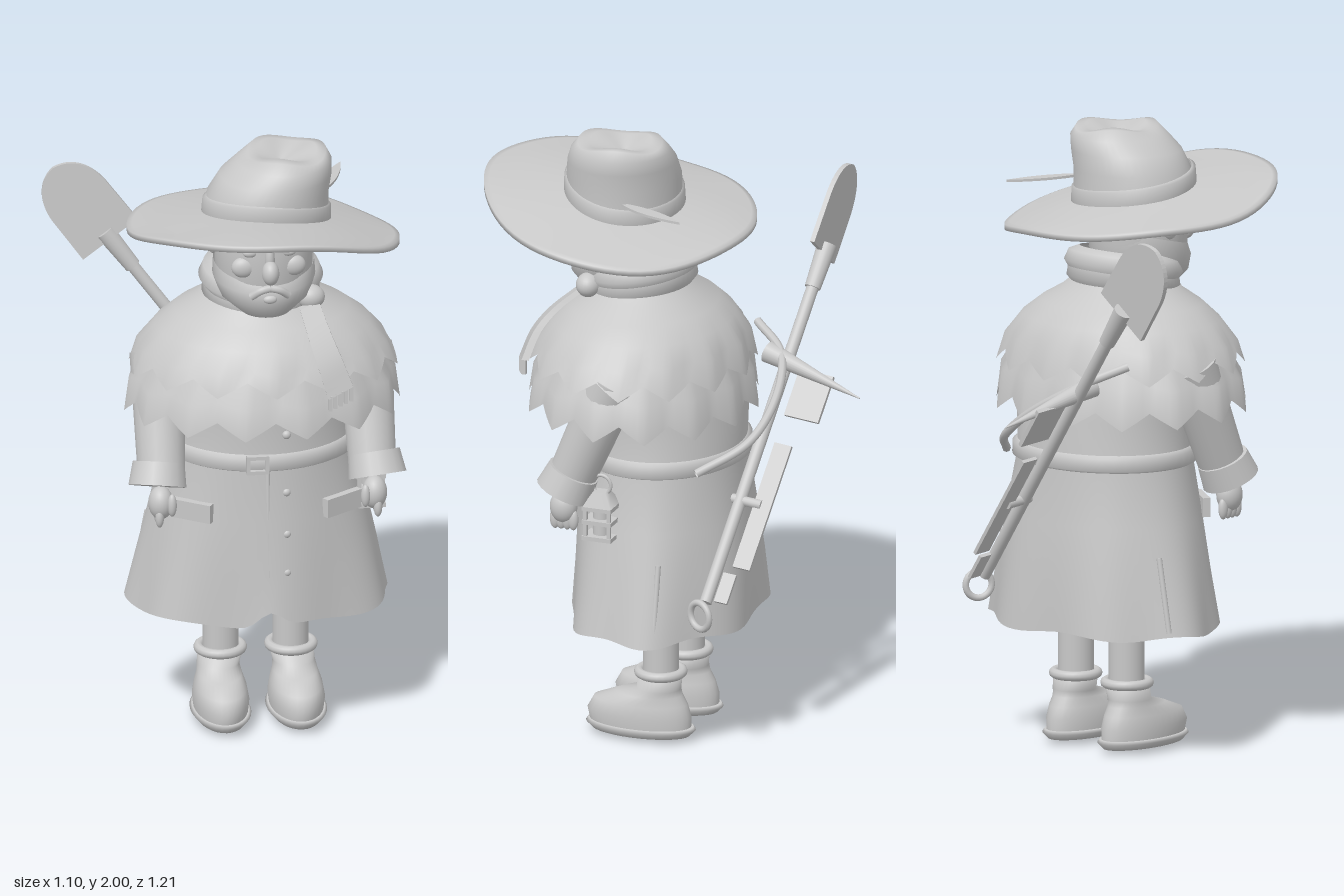
import * as THREE from 'three';

const grey = new THREE.MeshStandardMaterial({ color: 0xc8c8c8, side: THREE.DoubleSide });
grey.name = 'clay grey';
const V = (x, y, z) => new THREE.Vector3(x, y, z);

// Skin through elliptical rings [y, cx, cz, rx, rz], listed from bottom to top
function loft(rings, { seg = 48, warp, cap = false } = {}) {
  const pos = [], idx = [], n = rings.length;
  rings.forEach(([y, cx, cz, rx, rz], k) => {
    for (let i = 0; i < seg; i++) {
      const a = (i / seg) * Math.PI * 2;
      const p = V(cx + rx * Math.sin(a), y, cz + rz * Math.cos(a));
      if (warp) warp(p, a > Math.PI ? a - 2 * Math.PI : a, k);
      pos.push(p.x, p.y, p.z);
      if (k < n - 1) {
        const b = k * seg + i, c = k * seg + (i + 1) % seg;
        idx.push(b, c, c + seg, b, c + seg, b + seg);
      }
    }
  });
  if (cap) {
    const [y, cx, cz] = rings[n - 1], m = pos.length / 3;
    pos.push(cx, y, cz);
    for (let i = 0; i < seg; i++) idx.push((n - 1) * seg + i, (n - 1) * seg + (i + 1) % seg, m);
  }
  const g = new THREE.BufferGeometry();
  g.setAttribute('position', new THREE.Float32BufferAttribute(pos, 3));
  g.setIndex(idx);
  g.computeVertexNormals();
  return g;
}

function add(parent, name, geo, x = 0, y = 0, z = 0) {
  const m = new THREE.Mesh(geo, grey);
  m.name = name;
  m.position.set(x, y, z);
  parent.add(m);
  return m;
}
const box = (w, h, d) => new THREE.BoxGeometry(w, h, d);
const ball = (rx, ry, rz) => new THREE.SphereGeometry(1, 24, 16).scale(rx, ry, rz);
const tube = (pts, r, n = 24) => new THREE.TubeGeometry(new THREE.CatmullRomCurve3(pts.map(p => V(...p))), n, r, 8);
function rod(parent, name, a, b, r0, r1 = r0) {
  const d = b.clone().sub(a);
  const m = add(parent, name, new THREE.CylinderGeometry(r1, r0, d.length(), 20));
  m.position.copy(a).addScaledVector(d, 0.5);
  m.quaternion.setFromUnitVectors(V(0, 1, 0), d.normalize());
  return m;
}

function buildCoat(g) {
  add(g, 'coat', loft([
    [0.41, 0.095, 0, 0.42, 0.295], [0.58, 0.095, 0, 0.385, 0.287], [0.76, 0.095, 0.005, 0.345, 0.275],
    [0.96, 0.095, 0.01, 0.3, 0.255], [1.1, 0.095, 0.01, 0.3, 0.262], [1.28, 0.095, 0.03, 0.3, 0.25],
  ], { seg: 96, warp: (p, a, k) => {
    const f = [0.012, 0.006, 0.002, 0, 0, 0][k] * Math.sin(7 * a + 1);
    p.x += f * Math.sin(a); p.z += f * Math.cos(a);
    if (k === 0) p.y += 0.008 * Math.sin(6 * a) + 0.05 * Math.exp(-((a / 0.12) ** 2));
  } }));
  add(g, 'coatUnderside', loft([[0.46, 0.095, 0, 0.4, 0.28]], { cap: true }));
  // Belt with its buckle
  add(g, 'belt', loft([[0.935, 0.095, 0.01, 0.3, 0.255], [0.945, 0.095, 0.01, 0.318, 0.273],
    [0.985, 0.095, 0.01, 0.316, 0.272], [0.995, 0.095, 0.01, 0.3, 0.255]]));
  for (const s of [-1, 1]) {
    add(g, 'buckle', box(0.07, 0.012, 0.02), 0.055, 0.968 + s * 0.025, 0.285);
    add(g, 'buckle', box(0.012, 0.06, 0.02), 0.055 + s * 0.03, 0.968, 0.285);
  }
  // Front seam, buttons, pocket flaps and side vents
  rod(g, 'frontSeam', V(0.09, 0.46, 0.292), V(0.09, 0.935, 0.264), 0.007);
  for (const [y, z] of [[1.06, 0.268], [0.86, 0.264], [0.72, 0.274], [0.59, 0.281]])
    add(g, 'button', ball(0.014, 0.014, 0.012), 0.15, y, z);
  for (const s of [-1, 1]) {
    add(g, 'pocketFlap', box(0.145, 0.062, 0.025), 0.095 + s * 0.243, 0.79, 0.205).rotation.y = s * 0.6;
    rod(g, 'sideVent', V(0.095 + s * 0.39, 0.43, -0.1), V(0.095 + s * 0.346, 0.67, -0.1), 0.009);
  }
}

function buildCape(g) {
  // Two scalloped tiers
  const zigzag = (a, n, o) => Math.abs((((a * n) / (2 * Math.PI) + o + 20) % 1) * 2 - 1) - 0.5;
  const hem = (n, o, amp) => (p, a, k) => {
    if (k > 1) return;
    const w = zigzag(a, n, o);
    p.y += w * amp * (k ? 0.3 : 1) - (k ? 0 : 0.03 * (1 - Math.cos(a)) / 2);
    const f = -w * 0.02;
    p.x += f * Math.sin(a); p.z += f * Math.cos(a);
  };
  add(g, 'lowerCape', loft([[1.14, 0.095, 0.085, 0.435, 0.355], [1.22, 0.095, 0.085, 0.42, 0.34],
    [1.36, 0.095, 0.085, 0.33, 0.27]], { seg: 112, warp: hem(14, 0, 0.055) }));
  add(g, 'upperCape', loft([[1.28, 0.098, 0.085, 0.425, 0.345], [1.33, 0.095, 0.085, 0.395, 0.325],
    [1.39, 0.095, 0.085, 0.345, 0.285], [1.44, 0.092, 0.085, 0.28, 0.235], [1.48, 0.09, 0.085, 0.21, 0.18],
    [1.53, 0.088, 0.09, 0.15, 0.14]], { seg: 112, warp: hem(14, 0.5, 0.05) }));
  // Scarf, rising towards the nape
  const tilt = p => { p.y += (0.1 - p.z) * 0.15; };
  add(g, 'scarf', loft([[1.47, 0.09, 0.09, 0.16, 0.15], [1.5, 0.09, 0.09, 0.19, 0.175], [1.535, 0.09, 0.09, 0.185, 0.17]], { warp: tilt }));
  add(g, 'scarfFold', loft([[1.52, 0.09, 0.09, 0.18, 0.165], [1.55, 0.09, 0.09, 0.2, 0.18],
    [1.585, 0.09, 0.09, 0.185, 0.165], [1.6, 0.09, 0.1, 0.155, 0.14]], { warp: tilt }));
  add(g, 'scarfKnot', ball(0.045, 0.04, 0.04), 0.235, 1.515, 0.22);
  const path = new THREE.CatmullRomCurve3([V(0.225, 1.5, 0.245), V(0.25, 1.42, 0.335), V(0.275, 1.35, 0.385), V(0.305, 1.26, 0.415)]);
  const tail = new THREE.BoxGeometry(1, 1, 0.025, 2, 12, 1), q = tail.attributes.position;
  for (let i = 0; i < q.count; i++) {
    const t = 0.5 - q.getY(i), c = path.getPoint(t), u = q.getX(i) * (0.07 + 0.025 * t);
    q.setXYZ(i, c.x + u * 0.9, c.y + u * 0.25, c.z - u * 0.45 + q.getZ(i));
  }
  tail.computeVertexNormals();
  add(g, 'scarfTail', tail);
  for (let i = -2; i <= 2; i++)
    add(g, 'scarfFringe', box(0.012, 0.05, 0.015), 0.305 + i * 0.018, 1.24 + i * 0.004, 0.418 - i * 0.009);
}

function buildHead(g) {
  add(g, 'head', loft([[1.47, 0.09, 0.16, 0.06, 0.06], [1.52, 0.09, 0.16, 0.13, 0.13], [1.6, 0.09, 0.16, 0.155, 0.155],
    [1.7, 0.09, 0.16, 0.16, 0.157], [1.82, 0.09, 0.16, 0.155, 0.15]]));
  add(g, 'beard', loft([[1.465, 0.09, 0.2, 0.03, 0.04], [1.48, 0.09, 0.195, 0.085, 0.1], [1.53, 0.09, 0.18, 0.145, 0.145],
    [1.59, 0.09, 0.165, 0.165, 0.162], [1.64, 0.09, 0.16, 0.162, 0.15]],
  { warp: (p, a, k) => { if (k > 2) p.y -= (k - 2) * 0.018 * Math.cos(a); } }));
  add(g, 'nose', ball(0.028, 0.04, 0.035), 0.09, 1.65, 0.335);
  add(g, 'noseBridge', ball(0.016, 0.05, 0.02), 0.09, 1.69, 0.315);
  add(g, 'mouth', ball(0.022, 0.014, 0.012), 0.09, 1.555, 0.325);
  for (const s of [-1, 1]) {
    add(g, 'eye', ball(0.024, 0.015, 0.014), 0.09 + s * 0.062, 1.71, 0.302);
    add(g, 'eyebrow', tube([[0.09 + s * 0.025, 1.745, 0.313], [0.09 + s * 0.065, 1.757, 0.304], [0.09 + s * 0.1, 1.738, 0.285]], 0.008));
    add(g, 'moustache', tube([[0.09, 1.595, 0.328], [0.09 + s * 0.03, 1.588, 0.33], [0.09 + s * 0.06, 1.565, 0.318]], 0.013));
    add(g, 'cheek', ball(0.04, 0.035, 0.025), 0.09 + s * 0.08, 1.655, 0.285);
    add(g, 'ear', ball(0.018, 0.04, 0.03), 0.09 + s * 0.16, 1.69, 0.14);
  }
}

function buildHat(g) {
  const lift = (x, z) => 0.163 * (z - 0.17) - 0.08 * (x - 0.09) - 0.05 * ((x - 0.09) / 0.44) ** 2
    + 0.03 * (1 - Math.hypot(x - 0.09, z - 0.17) / 0.44);
  const onBrim = p => { p.y += lift(p.x, p.z); };
  const radii = [0.15, 0.25, 0.35, 0.42, 0.437];
  add(g, 'hatBrim', loft([...radii.map(r => [1.762, 0.088, 0.168, r, r]),
    ...radii.slice().reverse().map(r => [1.78, 0.088, 0.168, r, r])],
  { seg: 72, warp: (p, a, k) => { onBrim(p); if (k > 2 && k < 7) p.y += 0.005 * Math.sin(5 * a); } }));
  add(g, 'hatCrown', loft([[1.77, 0.1, 0.148, 0.2, 0.185], [1.86, 0.105, 0.148, 0.195, 0.183], [1.92, 0.13, 0.145, 0.18, 0.175],
    [1.965, 0.158, 0.14, 0.153, 0.16], [1.99, 0.168, 0.138, 0.125, 0.137], [1.992, 0.168, 0.136, 0.095, 0.1], [1.955, 0.15, 0.13, 0.02, 0.02]],
  { cap: true, warp: (p, a, k) => { if (k > 3 && k < 6) p.y += 0.009 * Math.cos(3 * a + 1); } }));
  add(g, 'hatBand', loft([[1.775, 0.1, 0.148, 0.2, 0.185], [1.78, 0.1, 0.148, 0.208, 0.193],
    [1.825, 0.102, 0.148, 0.206, 0.191], [1.83, 0.102, 0.148, 0.192, 0.18]], { warp: onBrim }));
  const leaf = new THREE.Shape();
  leaf.moveTo(0, 0); leaf.quadraticCurveTo(0.05, 0.12, 0.01, 0.27); leaf.quadraticCurveTo(-0.04, 0.14, 0, 0);
  const feather = add(g, 'feather', new THREE.ExtrudeGeometry(leaf, { depth: 0.008, bevelEnabled: false }), 0.275, 1.815, 0.1);
  feather.rotation.set(-Math.PI / 2, 0, -0.36);
  // Patch bent onto the brim
  const patch = new THREE.PlaneGeometry(0.115, 0.105, 4, 4).rotateX(-Math.PI / 2).rotateY(0.3).translate(-0.18, 0, 0.337);
  const p = patch.attributes.position;
  for (let i = 0; i < p.count; i++) p.setY(i, 1.789 + lift(p.getX(i), p.getZ(i)));
  patch.computeVertexNormals();
  add(g, 'hatPatch', patch);
}

function buildLimb(g, s) {
  const cx = 0.095;
  // Sleeve, cuff and hand
  rod(g, 'sleeve', V(cx + s * 0.34, 0.93, 0.2), V(cx + s * 0.335, 1.28, 0.05), 0.077, 0.088);
  rod(g, 'cuff', V(cx + s * 0.355, 0.885, 0.22), V(cx + s * 0.347, 0.955, 0.19), 0.094, 0.084);
  add(g, 'hand', ball(0.04, 0.055, 0.045), cx + s * 0.345, 0.83, 0.225);
  for (let i = 0; i < 4; i++)
    add(g, 'finger', ball(0.014, 0.035, 0.017), cx + s * 0.352, 0.79, 0.252 - i * 0.021);
  add(g, 'thumb', ball(0.015, 0.038, 0.016), cx + s * 0.312, 0.83, 0.255);
  // Leg and boot
  const x = 0.0875 + s * 0.1125, f = 0.0875 + s * 0.122;
  rod(g, 'leg', V(x, 0.2, -0.015), V(x, 0.5, -0.015), 0.058);
  add(g, 'boot', loft([[0.035, f, 0.05, 0.085, 0.17], [0.08, f, 0.055, 0.09, 0.175], [0.12, f, 0.05, 0.083, 0.158],
    [0.15, f, 0.02, 0.072, 0.11], [0.17, f, -0.012, 0.068, 0.072], [0.22, f - s * 0.008, -0.015, 0.072, 0.072]], { seg: 32, cap: true }));
  add(g, 'bootCuff', new THREE.TorusGeometry(0.07, 0.016, 10, 28).rotateX(Math.PI / 2), f - s * 0.008, 0.222, -0.015);
  add(g, 'sole', loft([[0, f, 0.05, 0.02, 0.05], [0.015, f, 0.05, 0.08, 0.165], [0.035, f, 0.05, 0.097, 0.185],
    [0.045, f, 0.05, 0.09, 0.178]], { seg: 32, cap: true }));
}

function buildTools(g) {
  // Shaft runs along local y, blade faces local z
  const tools = new THREE.Group();
  tools.name = 'shovel';
  const y = V(-0.73, 0.97, -0.125).normalize(), x = y.clone().cross(V(0, 0, 1)).normalize();
  tools.quaternion.setFromRotationMatrix(new THREE.Matrix4().makeBasis(x, y, x.clone().cross(y)));
  tools.position.set(0.4, 0.53, -0.24);
  g.add(tools);
  rod(tools, 'shaft', V(0, 0.02, 0), V(0, 1.2, 0), 0.02);
  rod(tools, 'socket', V(0, 1.11, 0), V(0, 1.26, 0), 0.026, 0.032);
  const s = new THREE.Shape();
  s.moveTo(-0.11, 1.23); s.lineTo(0.11, 1.23); s.lineTo(0.108, 1.4);
  s.bezierCurveTo(0.1, 1.5, 0.04, 1.53, 0, 1.535); s.bezierCurveTo(-0.04, 1.53, -0.1, 1.5, -0.108, 1.4);
  add(tools, 'blade', new THREE.ExtrudeGeometry(s, { depth: 0.016, bevelEnabled: false }));
  add(tools, 'sawPlate', box(0.012, 0.43, 0.06), 0, 0.37, -0.08);
  add(tools, 'smallPlate', box(0.012, 0.1, 0.045), 0, 0.08, -0.05);
  add(tools, 'axePlate', box(0.014, 0.16, 0.12), 0, 0.76, -0.11);
  add(tools, 'peg', new THREE.CylinderGeometry(0.016, 0.016, 0.12, 14).rotateX(Math.PI / 2), 0, 0.375, -0.015);
  add(g, 'handleRing', new THREE.TorusGeometry(0.044, 0.011, 10, 28), 0.42, 0.51, -0.235).rotation.y = 1.1;
  rod(g, 'pickSpike', V(-0.11, 1.235, -0.26), V(-0.05, 1.14, -0.6), 0.036, 0.002);
  add(g, 'strap', tube([[-0.2, 1.3, -0.19], [-0.1, 1.24, -0.31], [0.07, 1.14, -0.355], [0.22, 1.04, -0.32], [0.34, 0.96, -0.19]], 0.014, 40));
  // Lantern at the left hip
  const l = new THREE.Group();
  l.name = 'lantern';
  l.position.set(0.44, 0.74, 0.095);
  g.add(l);
  for (const h of [0.008, 0.062, 0.108]) add(l, 'lanternFrame', box(0.095, 0.014, 0.1), 0, h, 0);
  for (const a of [-1, 1]) for (const b of [-1, 1]) add(l, 'lanternPost', box(0.012, 0.11, 0.012), a * 0.038, 0.058, b * 0.04);
  add(l, 'lanternGlass', new THREE.CylinderGeometry(0.027, 0.027, 0.1, 16), 0, 0.058, 0);
  add(l, 'lanternRoof', new THREE.CylinderGeometry(0.03, 0.07, 0.045, 4).rotateY(Math.PI / 4), 0, 0.137, 0);
  add(l, 'lanternHandle', new THREE.TorusGeometry(0.032, 0.006, 8, 24), 0, 0.18, 0).rotation.y = Math.PI / 2;
}

export function createModel() {
  const g = new THREE.Group();
  g.name = 'traveller';
  [buildCoat, buildCape, buildHead, buildHat, buildTools].forEach(f => f(g));
  for (const s of [-1, 1]) buildLimb(g, s);
  return g;
}
